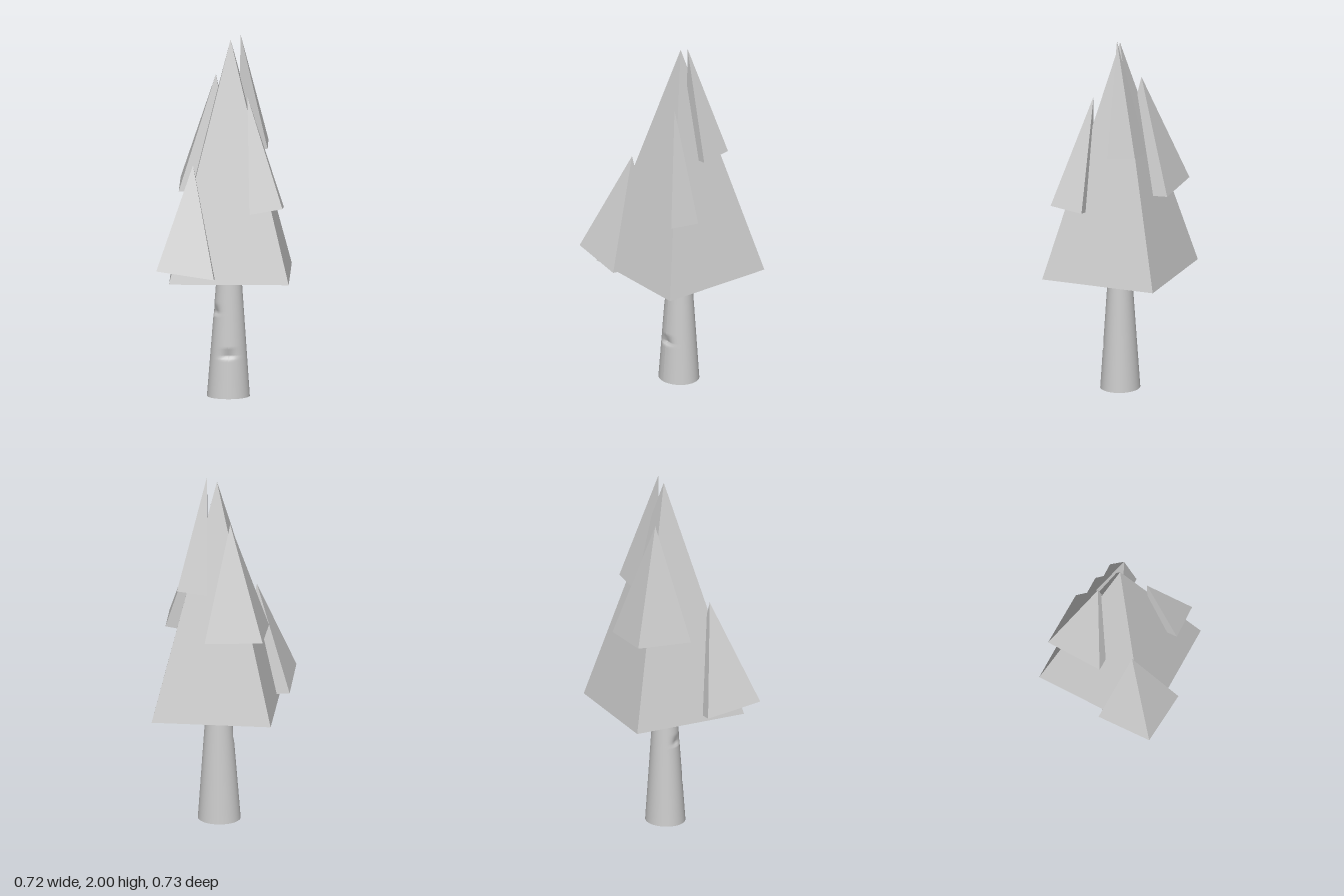
import * as THREE from 'three';

const leafMaterial = new THREE.MeshStandardMaterial({ color: 0xcccccc, flatShading: true });
const barkMaterial = new THREE.MeshStandardMaterial({ color: 0xcccccc, side: THREE.DoubleSide });

// Four-sided pyramid; base corners run front-left, front-right, back-right, back-left (as seen on screen)
function pyramid(name, apex, base) {
  const points = [];
  const face = (...corners) => corners.forEach((c) => points.push(...c));
  for (let i = 0; i < 4; i++) face(base[i], base[(i + 1) % 4], apex);
  face(base[0], base[2], base[1]);
  face(base[0], base[3], base[2]);
  const geometry = new THREE.BufferGeometry();
  geometry.setAttribute('position', new THREE.Float32BufferAttribute(points, 3));
  geometry.computeVertexNormals();
  const mesh = new THREE.Mesh(geometry, leafMaterial);
  mesh.name = name;
  return mesh;
}

// Tapered hollow trunk with notches cut into the bark
function trunk() {
  const height = 0.7;
  const notches = [
    { angle: 0.0, y: 0.23, depth: 0.018 },
    { angle: -1.1, y: 0.465, depth: 0.014 },
  ];
  const geometry = new THREE.CylinderGeometry(1, 1, height, 40, 70, true);
  const pos = geometry.attributes.position;
  for (let i = 0; i < pos.count; i++) {
    const y = pos.getY(i) + height / 2;
    const sx = pos.getX(i), sz = pos.getZ(i);
    const angle = Math.atan2(sx, sz);
    let dent = 0;
    for (const n of notches) {
      const side = Math.exp(-(((angle - n.angle) / 0.38) ** 2));
      const dy = y - n.y;
      // sharp ledge below, fading out upwards
      const rise = dy < 0 ? Math.max(0, 1 + dy / 0.012) : Math.max(0, 1 - dy / 0.05);
      dent += n.depth * side * rise;
    }
    const t = y / 0.675;
    const rx = THREE.MathUtils.lerp(0.117, 0.067, t) - dent;
    const rz = THREE.MathUtils.lerp(0.108, 0.063, t) - dent;
    pos.setXYZ(i, 0.023 + 0.004 * t + sx * rx, y, -0.037 + sz * rz);
  }
  geometry.computeVertexNormals();
  const mesh = new THREE.Mesh(geometry, barkMaterial);
  mesh.name = 'trunk';
  return mesh;
}

export function createModel() {
  const tree = new THREE.Group();
  tree.name = 'tree';
  tree.add(trunk());

  // Main crown
  tree.add(pyramid('crown', [0.035, 1.975, -0.04], [
    [-0.292, 0.675, 0.285], [0.36, 0.675, 0.285], [0.36, 0.675, -0.365], [-0.292, 0.675, -0.365],
  ]));

  // Slightly tilted boughs on the crown's four corners
  tree.add(pyramid('lowerFrontBough', [-0.165, 1.31, 0.14], [
    [-0.36, 0.76, 0.35], [-0.045, 0.715, 0.363], [-0.04, 0.68, 0.048], [-0.355, 0.715, 0.035],
  ]));
  tree.add(pyramid('middleBackBough', [-0.047, 1.765, -0.133], [
    [-0.247, 1.135, -0.016], [0.071, 1.12, -0.014], [0.073, 1.137, -0.333], [-0.245, 1.155, -0.335],
  ]));
  tree.add(pyramid('upperBackBough', [0.09, 2.0, -0.045], [
    [0.076, 1.35, -0.046], [0.237, 1.367, -0.046], [0.237, 1.39, -0.21], [0.073, 1.372, -0.21],
  ]));
  tree.add(pyramid('middleFrontBough', [0.13, 1.68, 0.076], [
    [0.145, 1.057, 0.252], [0.325, 1.09, 0.25], [0.328, 1.068, 0.067], [0.145, 1.035, 0.073],
  ]));
  return tree;
}
